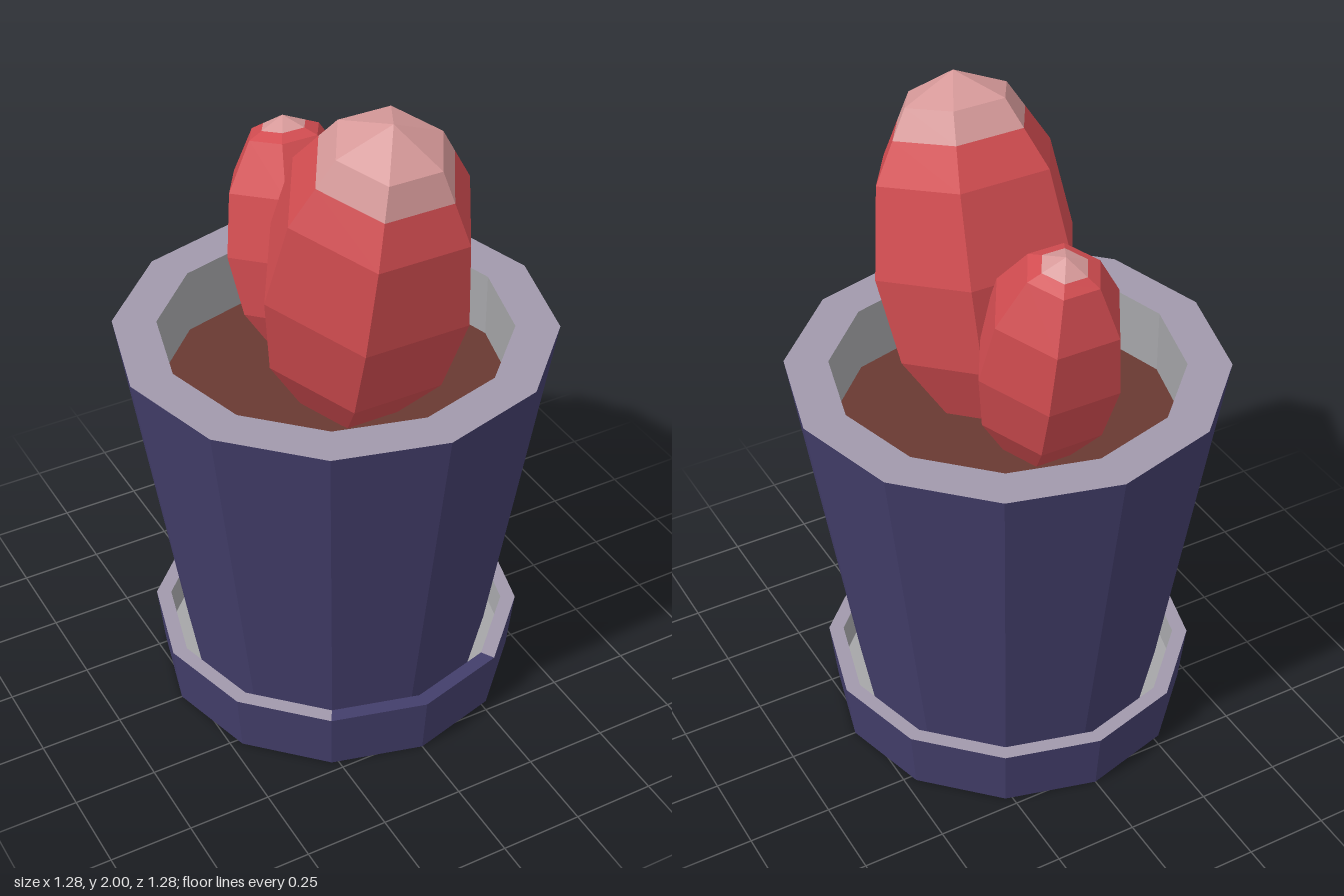
import * as THREE from 'three';

const flat = (name, color) => {
  const m = new THREE.MeshStandardMaterial({ color, flatShading: true });
  m.name = name;
  return m;
};

export function createModel() {
  const potPurple = flat('pot purple', 0x433e6b);
  const baseBlack = flat('base black', 0x2c2a30);
  const rimLilac = flat('rim lilac', 0xa199ac);
  const wallGrey = flat('wall grey', 0xa5a5a8);
  const soilBrown = flat('soil brown', 0x693932);
  const cactusRed = flat('cactus red', 0xd14c50);
  const tipPink = flat('tip pink', 0xd69999);

  const model = new THREE.Group();
  model.name = 'pottedCacti';

  // Faceted turned part; profile is [radius, y] pairs, arc is [start, length]
  const turned = (name, profile, sides, material, parent = model, arc = [0, Math.PI * 2]) => {
    const points = profile.map(([r, y]) => new THREE.Vector2(r, y));
    const mesh = new THREE.Mesh(new THREE.LatheGeometry(points, sides, ...arc), material);
    mesh.name = name;
    parent.add(mesh);
    return mesh;
  };

  // Saucer; the two front faces of its rim are purple
  const saucerRim = [[0.56, 0.19], [0.515, 0.19]];
  turned('saucerBase', [[0, 0], [0.54, 0]], 12, baseBlack);
  turned('saucer', [[0.54, 0], [0.56, 0.19]], 12, potPurple);
  turned('saucerRim', saucerRim, 10, rimLilac, model, [Math.PI / 6, Math.PI * 5 / 3]);
  turned('saucerRimFront', saucerRim, 2, potPurple, model, [-Math.PI / 6, Math.PI / 3]);
  turned('saucerInside', [[0.515, 0.19], [0.505, 0.1], [0, 0.1]], 12, wallGrey);

  // Pot with rim, inner wall and soil
  turned('pot', [[0, 0.105], [0.465, 0.105], [0.64, 1.21]], 12, potPurple);
  turned('potRim', [[0.64, 1.21], [0.512, 1.21]], 12, rimLilac);
  turned('potInside', [[0.512, 1.21], [0.512, 1.0]], 12, wallGrey);
  turned('soil', [[0.512, 1.01], [0, 1.01]], 12, soilBrown);

  // Six-sided egg, with its rings every 30 degrees; the tip starts at cut
  // (counted in rings from the bottom)
  const cactus = (name, radius, halfHeight, cut, y, z, tilt) => {
    const ring = i => [radius * Math.sin(i * Math.PI / 6), -halfHeight * Math.cos(i * Math.PI / 6)];
    const low = Math.floor(cut);
    const [a, b] = [ring(low), ring(low + 1)];
    const edge = a.map((v, k) => v + (b[k] - v) * (cut - low));
    const body = [], tip = [edge];
    for (let i = 0; i <= 6; i++) (i <= low ? body : tip).push(ring(i));
    body.push(edge);

    const group = new THREE.Group();
    group.name = name;
    turned(name + 'Body', body, 6, cactusRed, group).rotation.y = Math.PI / 2;
    turned(name + 'Tip', tip, 6, tipPink, group).rotation.y = Math.PI / 2;
    group.position.set(0, y, z);
    group.rotation.x = tilt;
    model.add(group);
  };

  cactus('largeCactus', 0.318, 0.53, 4.58, 1.484, 0.185, 0.23);
  cactus('smallCactus', 0.222, 0.373, 5.37, 1.37, -0.235, -0.205);

  return model;
}
